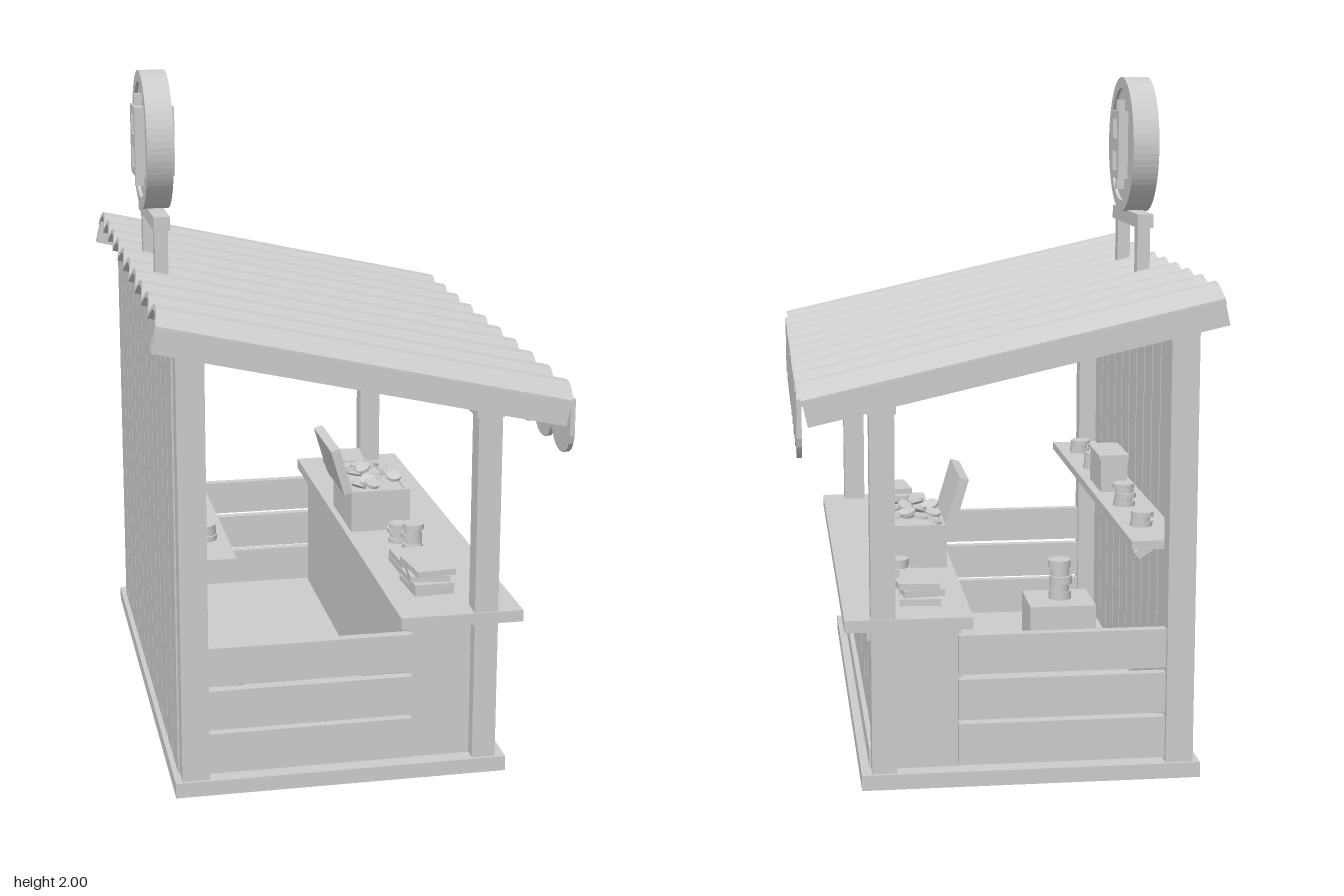
import * as THREE from 'three';

export function createModel() {
  const root = new THREE.Group();
  root.name = 'marketStall';
  const grey = new THREE.MeshStandardMaterial({ color: 0xcccccc });
  grey.name = 'plainGrey';

  const add = (geo, name, parent = root) => {
    const m = new THREE.Mesh(geo, grey);
    m.name = name;
    parent.add(m);
    return m;
  };
  // box given by its min and max along each axis
  const box = (name, x0, x1, y0, y1, z0, z1, parent = root) => {
    const m = add(new THREE.BoxGeometry(x1 - x0, y1 - y0, z1 - z0), name, parent);
    m.position.set((x0 + x1) / 2, (y0 + y1) / 2, (z0 + z1) / 2);
    return m;
  };
  // extrude a (z, y) outline along x, centred
  const extrudeX = (shape, depth, curveSegments = 6) =>
    new THREE.ExtrudeGeometry(shape, { depth, bevelEnabled: false, curveSegments })
      .translate(0, 0, -depth / 2).rotateY(Math.PI / 2);

  // base and corner posts
  box('base', -0.56, 0.42, 0, 0.045, -0.82, 0.82);
  for (const s of [-1, 1]) {
    const z0 = s > 0 ? 0.745 : -0.81, z1 = z0 + 0.065;
    box('backPost', -0.54, -0.46, 0.045, 1.33, z0, z1);
    box('frontPost', 0.32, 0.39, 0.045, 1.13, z0, z1);
    // side slats
    [[0.055, 0.178], [0.19, 0.31], [0.325, 0.44]].forEach(([a, b]) =>
      box('sideSlat', -0.47, 0.14, a, b, s * 0.778 - 0.015, s * 0.778 + 0.015));
  }
  box('frontBeam', 0.315, 0.395, 1.085, 1.13, -0.81, 0.81);
  box('backBeam', -0.53, -0.465, 1.25, 1.31, -0.75, 0.75);

  // back wall planks
  for (let i = 0; i < 12; i++) {
    const z = -0.75 + i * 0.125;
    box('wallPlank', -0.545, -0.52, 0.045, 1.32, z + 0.004, z + 0.121);
  }

  // counter
  box('counterBody', 0.13, 0.36, 0.045, 0.465, -0.77, 0.77);
  box('counterTop', 0.10, 0.465, 0.465, 0.5, -0.815, 0.815);
  box('counterTopRail', 0.35, 0.4, 0.43, 0.465, -0.78, 0.78);
  box('counterBottomRail', 0.35, 0.395, 0.045, 0.1, -0.745, 0.745);
  const edges = [-0.745, -0.59, -0.42, -0.25, -0.085, 0.085, 0.25, 0.42, 0.59, 0.745];
  for (let i = 0; i < 9; i++)
    box('counterPanel', 0.355, 0.38, 0.1, 0.43, edges[i] + 0.006, edges[i + 1] - 0.006);

  // sloping corrugated roof with rafters
  const roof = new THREE.Group();
  roof.name = 'roof';
  roof.position.y = 1.31;
  roof.rotation.z = -0.222;
  root.add(roof);
  const waves = 10, pitch = 0.172, half = waves * pitch / 2, rise = 0.042;
  const arcs = [];
  for (let i = 0; i <= waves * 6; i++) {
    const t = (i % 6) / 6 * 2 - 1;
    arcs.push([-half + i * pitch / 6, -rise * t * t]);
  }
  const sheet = new THREE.Shape([
    ...arcs.map(([z, y]) => new THREE.Vector2(z, y)),
    ...arcs.slice().reverse().map(([z, y]) => new THREE.Vector2(z, y - 0.016)),
  ]);
  add(extrudeX(sheet, 1.205), 'corrugatedSheet', roof);
  for (const s of [-1, 1])
    box('rafter', -0.6, 0.6, -0.118, -0.045, s * 0.845 - 0.018, s * 0.845 + 0.018, roof);

  // scalloped valance along the front eave
  const val = new THREE.Shape();
  const vp = 0.17, vh = waves * vp / 2;
  val.moveTo(-vh, 1.14);
  val.lineTo(-vh, 1.03);
  for (let i = 0; i < waves; i++) {
    const z = -vh + i * vp;
    val.bezierCurveTo(z + 0.015, 0.94, z + vp - 0.015, 0.94, z + vp, 1.03);
  }
  val.lineTo(vh, 1.14);
  for (let i = waves; i > 0; i--) {
    const z = -vh + i * vp;
    val.quadraticCurveTo(z - vp / 2, 1.185, z - vp, 1.125);
  }
  add(extrudeX(val, 0.014, 10), 'valance').position.x = 0.583;

  // round sign on its stand
  const sign = new THREE.Group();
  sign.name = 'coinSign';
  sign.position.set(-0.5, 1.79, 0);
  root.add(sign);
  for (const s of [-1, 1])
    box('signLeg', -0.02, 0.02, -0.42, -0.245, s * 0.163 - 0.022, s * 0.163 + 0.022, sign);
  box('signBar', -0.025, 0.025, -0.247, -0.205, -0.21, 0.21, sign);
  box('signFoot', -0.025, 0.025, -0.21, -0.19, -0.05, 0.05, sign);
  const rim = new THREE.Shape().absarc(0, 0, 0.21, 0, Math.PI * 2);
  rim.holes.push(new THREE.Path().absarc(0, 0, 0.175, 0, Math.PI * 2, true));
  add(extrudeX(rim, 0.08, 32), 'coinRim', sign);
  add(new THREE.CylinderGeometry(0.176, 0.176, 0.06, 32).rotateZ(Math.PI / 2), 'coinFace', sign);
  // abstract raised emblem on both faces
  const frame = new THREE.Shape();
  frame.moveTo(-0.065, -0.105).lineTo(0.065, -0.105).lineTo(0.065, 0.105).lineTo(-0.065, 0.105);
  for (const c of [-0.05, 0.05]) {
    const h = new THREE.Path();
    h.moveTo(-0.035, c - 0.03).lineTo(-0.035, c + 0.03).lineTo(0.035, c + 0.03).lineTo(0.035, c - 0.03);
    frame.holes.push(h);
  }
  add(extrudeX(frame, 0.12), 'coinEmblem', sign);
  for (const s of [-1, 1])
    box('emblemTip', -0.055, 0.055, s * 0.12 - 0.02, s * 0.12 + 0.02, -0.01, 0.01, sign);

  // back shelf with brackets
  box('shelf', -0.525, -0.365, 0.665, 0.69, -0.745, 0.745);
  for (const z of [-0.555, 0.555]) {
    const b = add(new THREE.BoxGeometry(0.13, 0.025, 0.02), 'shelfBracket');
    b.position.set(-0.47, 0.635, z);
    b.rotation.z = -0.6;
    box('bracketUpright', -0.525, -0.5, 0.56, 0.665, z - 0.01, z + 0.01);
  }

  // stack of slightly shifted round pieces
  const stack = (name, x, y, z, r, height, n) => {
    const g = new THREE.Group();
    g.name = name;
    const h = height / n;
    for (let i = 0; i < n; i++) {
      const m = add(new THREE.CylinderGeometry(i % 2 ? r * 0.86 : r, i % 2 ? r * 0.86 : r, h, 12), 'disc', g);
      m.position.set(x + Math.sin(i * 2.1) * 0.003, y + h * (i + 0.5), z + Math.cos(i * 1.7) * 0.003);
    }
    root.add(g);
  };
  stack('shelfPot', -0.43, 0.69, 0.555, 0.034, 0.045, 3);
  stack('shelfPot', -0.43, 0.69, 0.28, 0.034, 0.055, 4);
  stack('shelfPot', -0.43, 0.69, -0.285, 0.034, 0.07, 5);
  stack('shelfPot', -0.43, 0.69, -0.555, 0.034, 0.045, 3);
  stack('counterStack', 0.28, 0.5, 0.215, 0.034, 0.082, 5);
  stack('counterStack', 0.25, 0.5, 0.145, 0.034, 0.06, 4);
  stack('counterStack', 0.28, 0.5, -0.39, 0.034, 0.068, 5);
  stack('counterStack', 0.24, 0.5, -0.46, 0.032, 0.048, 3);

  // stacks of flat bundles
  const bundles = (x, z, w, d, n, h) => {
    for (let i = 0; i < n; i++) {
      const m = add(new THREE.BoxGeometry(w, h - 0.003, d), 'bundle');
      m.position.set(x, 0.5 + h * (i + 0.5), z + (i % 2 ? 0.006 : -0.006));
      m.rotation.y = Math.sin(i * 2.3 + z) * 0.12;
    }
  };
  bundles(0.235, 0.58, 0.12, 0.155, 4, 0.021);
  bundles(0.235, 0.4, 0.11, 0.15, 2, 0.022);
  bundles(0.235, -0.605, 0.12, 0.155, 3, 0.023);

  // box on the shelf
  box('shelfBox', -0.475, -0.39, 0.69, 0.8, -0.095, 0.105);
  box('shelfBoxLid', -0.48, -0.383, 0.798, 0.81, -0.1, 0.11);

  // open chest with its lid tilted back
  box('chestBack', 0.12, 0.135, 0.5, 0.635, -0.255, 0.035);
  box('chestFront', 0.3, 0.315, 0.5, 0.635, -0.255, 0.035);
  for (const z of [-0.255, 0.02]) box('chestEnd', 0.12, 0.315, 0.5, 0.635, z, z + 0.015);
  box('chestFilling', 0.13, 0.305, 0.5, 0.63, -0.25, 0.03);
  const lid = add(new THREE.BoxGeometry(0.03, 0.155, 0.29), 'chestLid');
  lid.position.set(0.088, 0.705, -0.11);
  lid.rotation.z = 0.29;
  for (let i = 0; i < 14; i++) {
    const c = add(new THREE.CylinderGeometry(0.025, 0.025, 0.01, 10), 'looseCoin');
    c.position.set(0.155 + (i % 4) * 0.04, 0.642 + (i % 3) * 0.01, -0.225 + i * 0.0175);
    c.rotation.set(Math.sin(i * 3) * 0.4, 0, Math.cos(i * 5) * 0.4);
  }

  // storage inside, by the back wall
  box('floorCrate', -0.46, -0.23, 0.045, 0.185, 0.36, 0.58);
  stack('storedPot', -0.35, 0.185, 0.47, 0.04, 0.14, 5);

  return root;
}
